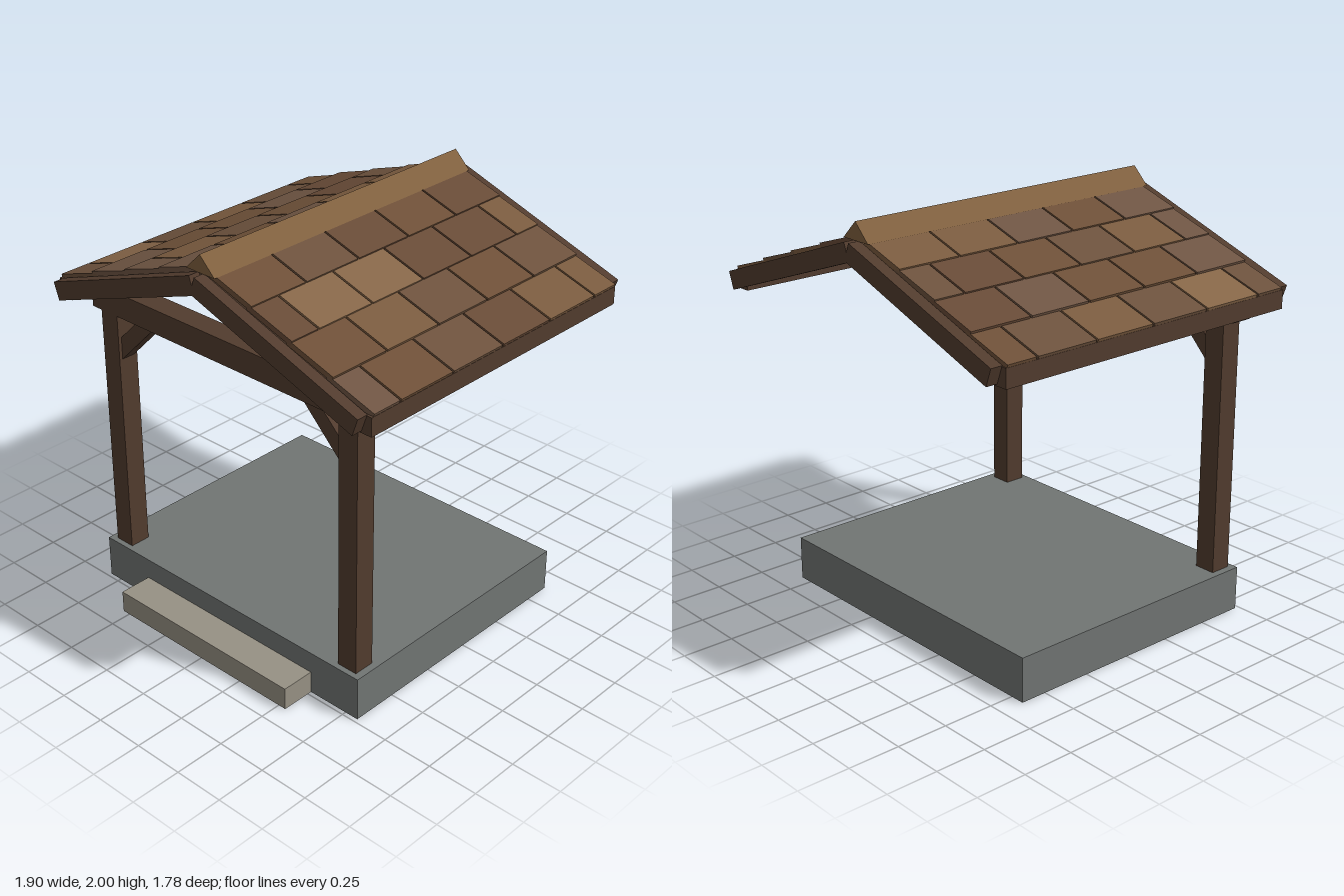
import * as THREE from 'three';

const WOOD = 0x523c2e, DECK = 0x3a2a1f, CAP = 0x80603f;
const TILES = [0x6d523d, 0x7a5b3f, 0x684b37, 0x866648, 0x6e5038, 0x6f5543];

const materials = new Map();
function mat(color) {
  if (!materials.has(color)) {
    materials.set(color, new THREE.MeshStandardMaterial({ color, flatShading: true }));
  }
  return materials.get(color);
}

// Axis-aligned box given by its limits
function block(parent, name, color, x0, x1, y0, y1, z0, z1) {
  const mesh = new THREE.Mesh(new THREE.BoxGeometry(x1 - x0, y1 - y0, z1 - z0), mat(color));
  mesh.position.set((x0 + x1) / 2, (y0 + y1) / 2, (z0 + z1) / 2);
  mesh.name = name;
  parent.add(mesh);
}

// Sloping board whose upper face runs from a (inner, high) down to b (outer, low); side mirrors it in x
function slope(parent, name, color, side, a, b, thick, z0, z1) {
  const dx = b[0] - a[0], dy = b[1] - a[1], len = Math.hypot(dx, dy);
  const mesh = new THREE.Mesh(new THREE.BoxGeometry(len, thick, z1 - z0), mat(color));
  const x = (a[0] + b[0]) / 2 + (dy / len) * thick / 2;
  const y = (a[1] + b[1]) / 2 - (dx / len) * thick / 2;
  mesh.position.set(side * x, y, (z0 + z1) / 2);
  mesh.rotation.z = side * Math.atan2(dy, dx);
  mesh.name = name;
  parent.add(mesh);
}

// Small seeded generator for the tile colours
function seeded(seed) {
  return () => {
    seed = (seed * 1664525 + 1013904223) % 4294967296;
    return seed / 4294967296;
  };
}

export function createModel() {
  const model = new THREE.Group();
  model.name = 'porch';

  // Slab and step
  block(model, 'baseSlab', 0x717573, -0.82, 0.82, 0, 0.215, -0.63, 0.73);
  block(model, 'frontStep', 0x979184, -0.54, 0.54, 0, 0.11, 0.73, 0.895);

  // Front frame
  const frame = new THREE.Group();
  frame.name = 'frontFrame';
  model.add(frame);
  block(frame, 'crossBeam', WOOD, -0.84, 0.84, 1.455, 1.575, 0.594, 0.706);

  // Roof
  const roof = new THREE.Group();
  roof.name = 'roof';
  model.add(roof);
  const zBack = -0.8325, pitch = 0.325, zFront = zBack + 5 * pitch, gap = 0.005;
  const random = seeded(11);

  for (const side of [1, -1]) {
    const label = side > 0 ? 'left' : 'right';
    const px = side * 0.7325;
    block(frame, label + 'Post', WOOD, px - 0.0525, px + 0.0525, 0.215, 1.456, 0.5975, 0.7025);
    slope(frame, label + 'Brace', WOOD, side, [0.505, 1.515], [0.74, 1.28], 0.078, 0.615, 0.685);

    // Deck, eave fascia and barge boards
    slope(roof, label + 'Deck', DECK, side, [0, 1.872], [0.9, 1.557], 0.03, zBack, 0.8);
    const fx = side * 0.905;
    block(roof, label + 'Fascia', WOOD, fx - 0.04, fx + 0.04, 1.507, 1.595, zBack, 0.8);
    for (const [end, z0, z1] of [['Front', 0.798, 0.855], ['Back', -0.89, -0.831]]) {
      slope(roof, label + end + 'BargeBoard', WOOD, side, [0.015, 1.917], [0.921, 1.6], 0.088, z0, z1);
    }

    // Overlapping tile courses, alternate courses shifted by half a tile
    const tiles = new THREE.Group();
    tiles.name = label + 'Tiles';
    roof.add(tiles);
    for (let course = 0; course < 4; course++) {
      const low = course === 0 ? [0.948, 1.608] : [0.955 - 0.225 * course, 1.61 + 0.08 * course];
      const run = course === 3 ? 0.235 : 0.25;
      const high = [low[0] - run, low[1] + run * 0.322];
      const start = zBack - (course % 2 ? 0 : pitch / 2);
      for (let z = start; z < zFront - 0.01; z += pitch) {
        const z0 = Math.max(z, zBack) + gap, z1 = Math.min(z + pitch, zFront) - gap;
        const color = TILES[Math.floor(random() * TILES.length)];
        slope(tiles, 'tile', color, side, high, low, 0.026, z0, z1);
      }
    }
  }

  // Triangular ridge cap
  const triangle = new THREE.Shape([
    new THREE.Vector2(-0.085, 1.916), new THREE.Vector2(0.085, 1.916), new THREE.Vector2(0, 2),
  ]);
  const cap = new THREE.Mesh(
    new THREE.ExtrudeGeometry(triangle, { depth: 1.645, bevelEnabled: false }), mat(CAP));
  cap.position.z = -0.84;
  cap.name = 'ridgeCap';
  roof.add(cap);

  return model;
}
